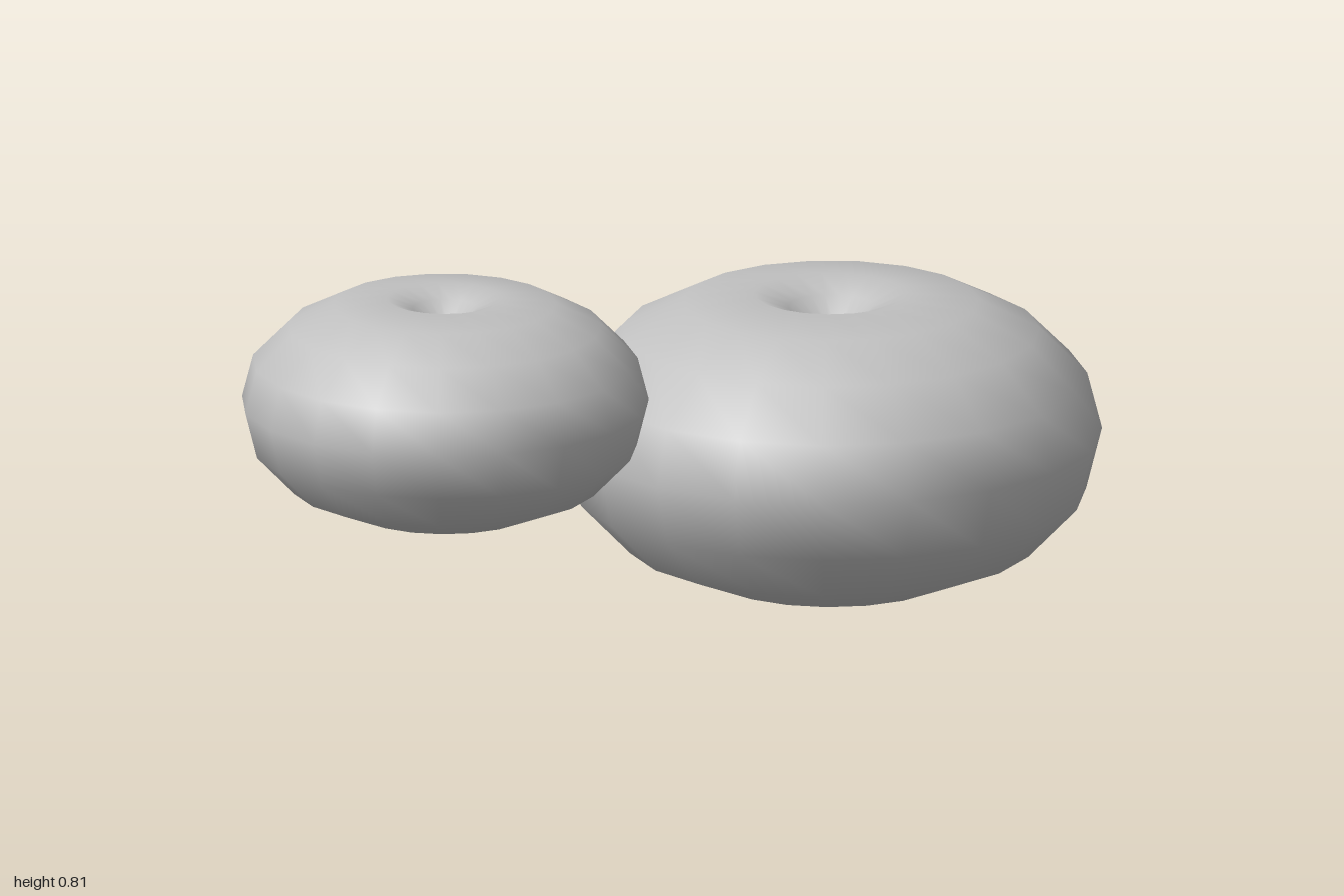
import * as THREE from 'three';

export function createModel() {
  const group = new THREE.Group();
  const grey = new THREE.MeshStandardMaterial({ color: 0xc0c0c0 });
  grey.name = 'plain grey';

  // Half section from the base up the side, over the rim and into the dimple
  const profile = [
    [0, 0.004], [0.08, 0], [0.258, 0.03], [0.43, 0.1], [0.536, 0.21],
    [0.569, 0.34], [0.538, 0.46], [0.438, 0.56], [0.31, 0.624],
    [0.16, 0.64], [0.09, 0.612], [0.04, 0.565], [0, 0.54],
  ].map(([r, y]) => new THREE.Vector2(r, y));

  const geometry = new THREE.LatheGeometry(profile, 19, -Math.PI / 2);

  // The same squashed fruit body at two sizes
  const addFruit = (name, scale, x, y, z) => {
    const mesh = new THREE.Mesh(geometry, grey);
    mesh.name = name;
    mesh.scale.setScalar(scale);
    mesh.position.set(x, y, z);
    group.add(mesh);
  };
  addFruit('largeFruit', 1, 0.438, 0, 0.035);
  addFruit('smallFruit', 0.752, -0.572, 0.33, -0.177);

  return group;
}
